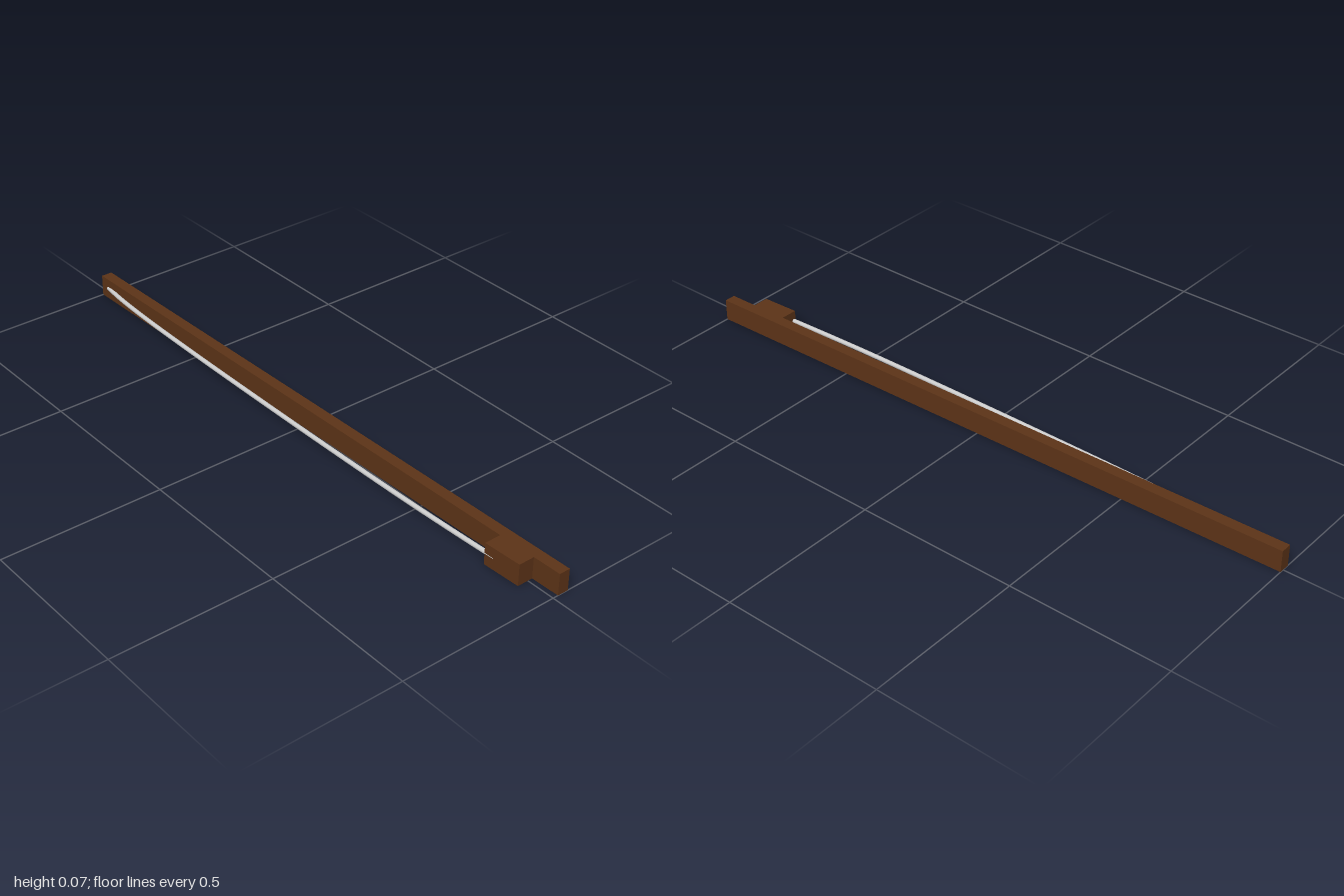
import * as THREE from 'three';

const HEIGHT = 0.068;

// Upright prism from a plan outline given as [x, z] corners
function prism(name, outline, material) {
  const shape = new THREE.Shape(outline.map(([x, z]) => new THREE.Vector2(x, -z)));
  const geometry = new THREE.ExtrudeGeometry(shape, { depth: HEIGHT, bevelEnabled: false });
  geometry.rotateX(-Math.PI / 2);
  const mesh = new THREE.Mesh(geometry, material);
  mesh.name = name;
  return mesh;
}

export function createModel() {
  const group = new THREE.Group();
  group.name = 'bow';
  const wood = new THREE.MeshStandardMaterial({ color: 0x5c3317 });
  const grey = new THREE.MeshStandardMaterial({ color: 0xcccccc });

  // Long stick, leaning slightly to one side along its length
  group.add(prism('stick', [[0.017, 1], [0.052, 1], [0.012, -1], [-0.023, -1]], wood));

  // Block that holds the hair near the front end
  group.add(prism('frog', [[-0.035, 0.91], [0.03, 0.91], [0.03, 0.79], [-0.04, 0.79]], wood));

  // Hair bowing out from the tip of the stick to the block
  const path = new THREE.CatmullRomCurve3([
    [-0.019, -0.97], [-0.028, -0.9], [-0.037, -0.75], [-0.043, -0.5], [-0.046, -0.15],
    [-0.046, 0.2], [-0.043, 0.5], [-0.036, 0.73], [-0.032, 0.82],
  ].map(([x, z]) => new THREE.Vector3(x, HEIGHT / 2 + 0.001, z)));
  const hair = new THREE.Mesh(new THREE.TubeGeometry(path, 48, 0.007, 12), grey);
  hair.name = 'hair';
  group.add(hair);

  return group;
}
